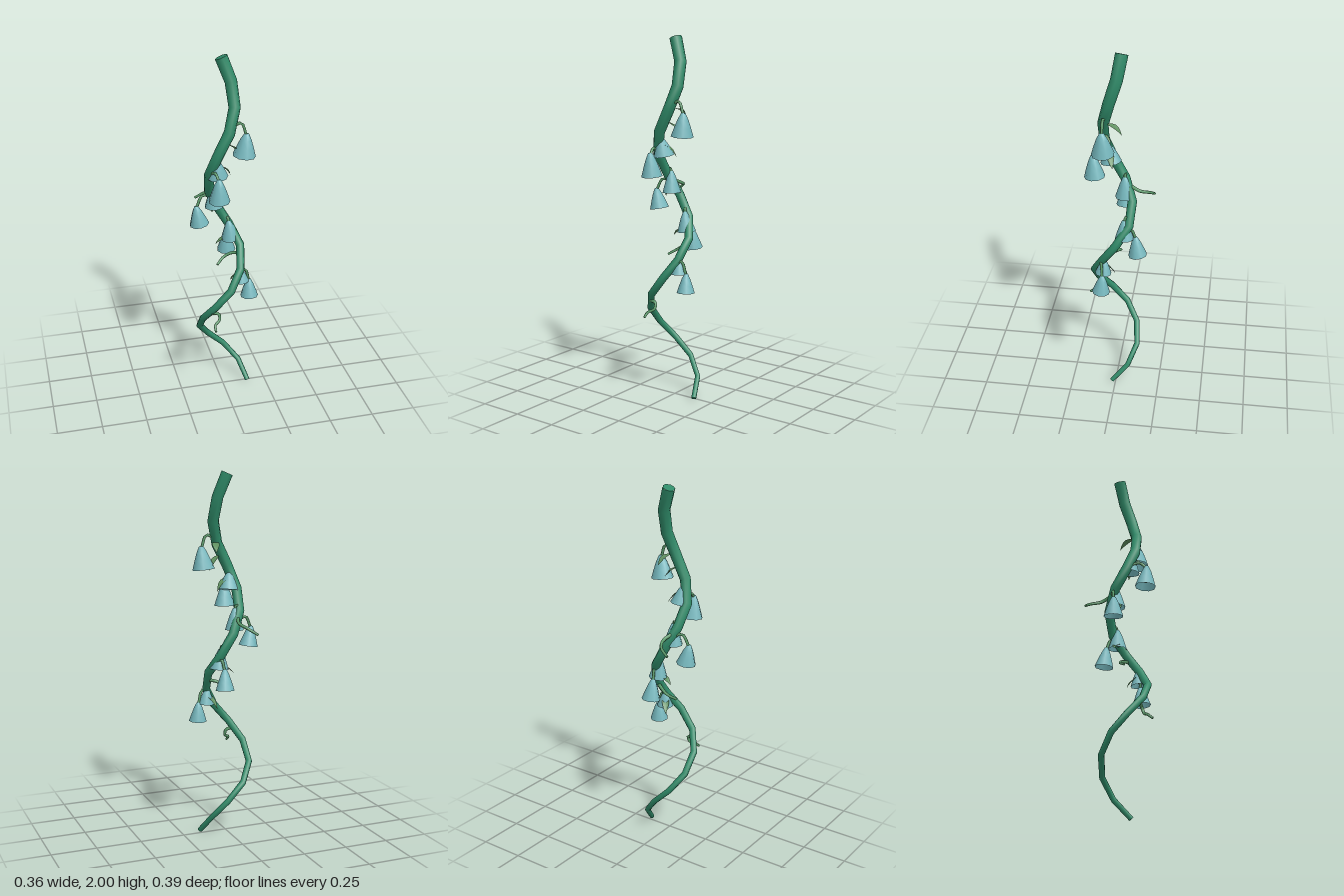
import * as THREE from 'three';

const V = (p) => new THREE.Vector3(...p);
const mat = (color, side = THREE.FrontSide) => new THREE.MeshStandardMaterial({ color, side });
const vineMat = mat(0x2f8a68);
const stalkMat = mat(0x5c9c6c);
const leafMat = mat(0x5f9060, THREE.DoubleSide);
const bellMat = mat(0x74b6bc, THREE.DoubleSide);

// Tapered tube through points, closed with a disc at each end
function taperedTube(name, points, r0, r1, segments, sides, material) {
  const curve = new THREE.CatmullRomCurve3(points.map(V));
  const geo = new THREE.TubeGeometry(curve, segments, 1, sides, false);
  const pos = geo.attributes.position;
  const v = new THREE.Vector3();
  for (let i = 0; i <= segments; i++) {
    const t = i / segments;
    const centre = curve.getPointAt(t);
    for (let j = 0; j <= sides; j++) {
      const k = i * (sides + 1) + j;
      v.fromBufferAttribute(pos, k).sub(centre).multiplyScalar(r0 + (r1 - r0) * t).add(centre);
      pos.setXYZ(k, v.x, v.y, v.z);
    }
  }
  const group = new THREE.Group();
  group.name = name;
  group.add(new THREE.Mesh(geo, material));
  for (const [t, r, sign] of [[0, r0, -1], [1, r1, 1]]) {
    const cap = new THREE.Mesh(new THREE.CircleGeometry(r, sides), material);
    cap.position.copy(curve.getPointAt(t));
    cap.quaternion.setFromUnitVectors(new THREE.Vector3(0, 0, 1), curve.getTangentAt(t).multiplyScalar(sign));
    group.add(cap);
  }
  return group;
}

// Hanging bell flower: apex point, rim centre and rim radius
function bell(apex, rim, radius) {
  const a = V(apex), axis = V(rim).sub(a), h = axis.length();
  const profile = [[0, 0], [0.2, 0.01], [0.48, 0.28], [0.74, 0.62], [1, 1]]
    .map(([r, y]) => new THREE.Vector2(r * radius, -y * h));
  const group = new THREE.Group();
  group.name = 'bellFlower';
  const petals = new THREE.Mesh(new THREE.LatheGeometry(profile.reverse(), 9), bellMat);
  petals.name = 'bellPetals';
  // Small stamen inside the bell
  const stamen = new THREE.Mesh(new THREE.CylinderGeometry(0.005, 0.009, h * 0.75, 6), stalkMat);
  stamen.position.y = -h * 0.42;
  stamen.name = 'stamen';
  group.add(petals, stamen);
  group.position.copy(a);
  group.quaternion.setFromUnitVectors(new THREE.Vector3(0, -1, 0), axis.normalize());
  return group;
}

// Pointed leaf from base to tip, slightly folded along its middle
function leaf(base, tip, width) {
  const b = V(base), dir = V(tip).sub(b);
  const side = new THREE.Vector3().crossVectors(dir, new THREE.Vector3(0, 1, 0)).setLength(width / 2);
  const up = new THREE.Vector3().crossVectors(side, dir).setLength(0.012);
  const verts = [];
  const steps = 5;
  for (let i = 0; i <= steps; i++) {
    const t = i / steps;
    const w = Math.sin(Math.PI * Math.pow(t, 0.8));
    const c = b.clone().addScaledVector(dir, t).addScaledVector(up, Math.sin(Math.PI * t));
    for (const s of [-1, 0, 1]) {
      verts.push(...c.clone().addScaledVector(side, s * w).addScaledVector(up, Math.abs(s) * w * 0.5).toArray());
    }
  }
  const index = [];
  for (let i = 0; i < steps; i++) for (let j = 0; j < 2; j++) {
    const k = i * 3 + j;
    index.push(k, k + 1, k + 3, k + 1, k + 4, k + 3);
  }
  const geo = new THREE.BufferGeometry();
  geo.setAttribute('position', new THREE.Float32BufferAttribute(verts, 3));
  geo.setIndex(index);
  geo.computeVertexNormals();
  const mesh = new THREE.Mesh(geo, leafMat);
  mesh.name = 'leaf';
  return mesh;
}

export function createModel() {
  const model = new THREE.Group();
  model.name = 'floweringVine';

  // Main vine, winding down and thinning
  const path = [
    [-0.005, 1.99, -0.015], [0.035, 1.89, 0], [0.053, 1.77, 0.035], [0.037, 1.66, 0.07],
    [-0.015, 1.55, 0.085], [-0.065, 1.44, 0.07], [-0.085, 1.33, 0.02], [-0.06, 1.22, -0.045],
    [-0.005, 1.11, -0.075], [0.06, 1.0, -0.055], [0.1, 0.9, 0.015], [0.075, 0.79, 0.09],
    [0, 0.68, 0.138], [-0.095, 0.565, 0.105], [-0.137, 0.455, 0.015], [-0.105, 0.345, -0.075],
    [0, 0.235, -0.115], [0.1, 0.125, -0.08], [0.145, 0.01, 0.02],
  ];
  model.add(taperedTube('vine', path, 0.034, 0.014, 18, 8, vineMat));

  // Bells: apex, rim centre, rim radius, stalk root on the vine
  const bells = [
    [[0.11, 1.6, 0.075], [0.098, 1.475, 0.07], 0.062, [0.035, 1.64, 0.07]],
    [[-0.05, 1.46, 0.06], [-0.04, 1.36, 0.046], 0.058, [-0.055, 1.47, 0.07]],
    [[-0.055, 1.385, 0.148], [-0.052, 1.258, 0.138], 0.058, [-0.08, 1.38, 0.05]],
    [[-0.045, 1.27, -0.028], [-0.042, 1.15, -0.028], 0.052, [-0.065, 1.25, -0.03]],
    [[-0.143, 1.165, -0.022], [-0.125, 1.055, -0.026], 0.054, [-0.05, 1.2, -0.05]],
    [[0.042, 1.05, -0.035], [0.052, 0.94, -0.038], 0.052, [0.03, 1.05, -0.065]],
    [[0.042, 0.95, -0.097], [0.047, 0.835, -0.112], 0.052, [0.07, 0.98, -0.04]],
    [[0.08, 0.81, 0.07], [0.085, 0.725, 0.075], 0.046, [0.085, 0.83, 0.065]],
    [[0.13, 0.735, 0.075], [0.132, 0.63, 0.082], 0.05, [0.07, 0.78, 0.095]],
  ];
  for (const [apex, rim, radius, root] of bells) {
    model.add(bell(apex, rim, radius));
    // Arched stalk from the vine to the bell
    const mid = V(root).lerp(V(apex), 0.6);
    mid.y = Math.max(root[1], apex[1]) + 0.02;
    const end = V(apex).lerp(V(rim), 0.1).toArray();
    model.add(taperedTube('bellStalk', [root, mid.toArray(), end], 0.008, 0.008, 6, 6, stalkMat));
  }

  // Bare curling tendrils
  const tendrils = [
    [[-0.05, 1.215, -0.06], [-0.036, 1.195, -0.11], [-0.062, 1.175, -0.165], [-0.115, 1.14, -0.185]],
    [[-0.09, 0.56, 0.11], [-0.05, 0.55, 0.112], [-0.05, 0.515, 0.125], [-0.078, 0.5, 0.145], [-0.08, 0.475, 0.175]],
    [[0.095, 0.87, 0.025], [0.055, 0.865, -0.005], [0.01, 0.84, -0.015], [-0.035, 0.81, 0.015]],
  ];
  for (const points of tendrils) {
    model.add(taperedTube('tendril', points, 0.01, 0.007, 10, 6, stalkMat));
  }

  // Small leaves close to the vine
  const leaves = [
    [[0.035, 1.62, 0.06], [0.06, 1.57, -0.025]],
    [[0.0, 1.55, 0.08], [0.075, 1.47, 0.04]],
    [[-0.05, 1.43, 0.065], [0.035, 1.355, 0.03]],
    [[-0.05, 1.2, -0.04], [-0.06, 1.13, 0.0]],
    [[0.05, 0.95, -0.03], [-0.035, 0.91, -0.04]],
    [[0.09, 0.78, 0.085], [0.04, 0.7, 0.015]],
  ];
  for (const [base, tip] of leaves) model.add(leaf(base, tip, 0.04));

  return model;
}
